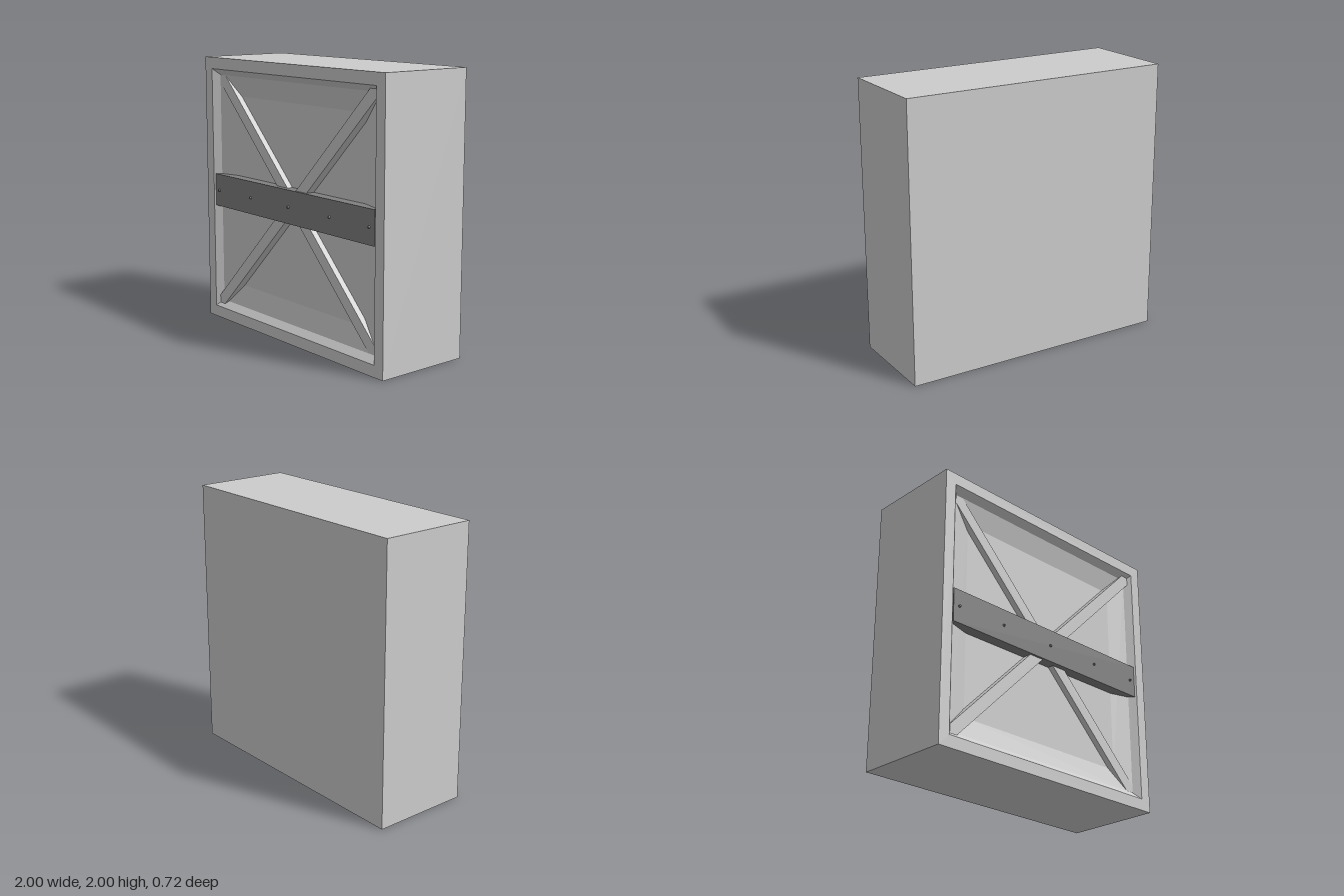
import * as THREE from 'three';

const paleGrey = new THREE.MeshStandardMaterial({ color: 0xcccccc });
const darkGrey = new THREE.MeshStandardMaterial({ color: 0x808080 });

function addMesh(group, name, geometry, material, x = 0, y = 1, z = 0) {
  const mesh = new THREE.Mesh(geometry, material);
  mesh.name = name;
  mesh.position.set(x, y, z);
  group.add(mesh);
  return mesh;
}

// Box placed by its front and back z
function addBar(group, name, width, height, front, back, material) {
  return addMesh(group, name, new THREE.BoxGeometry(width, height, front - back),
    material, 0, 1, (front + back) / 2);
}

// Square block whose front sinks in two slopes to a flat panel: [half width, z]
function blockGeometry() {
  const profile = [
    [0, -0.362], [1, -0.362], [1, 0.357], [0.915, 0.357],
    [0.87, 0.312], [0.72, 0.267], [0, 0.267],
  ].map(([half, z]) => new THREE.Vector2(half * Math.SQRT2, z));
  const geometry = new THREE.LatheGeometry(profile, 4, Math.PI / 4).toNonIndexed();
  geometry.rotateX(Math.PI / 2);
  geometry.computeVertexNormals(); // flat faces
  return geometry;
}

export function createModel() {
  const group = new THREE.Group();
  group.name = 'crate';

  addMesh(group, 'body', blockGeometry(), paleGrey);

  // Crossed braces, one slightly in front of the other
  addBar(group, 'risingBrace', 2.54, 0.085, 0.333, 0.25, paleGrey).rotation.z = Math.PI / 4;
  addBar(group, 'fallingBrace', 2.54, 0.085, 0.311, 0.25, paleGrey).rotation.z = -Math.PI / 4;

  // Horizontal plank with its row of bolts
  addBar(group, 'plank', 1.8, 0.243, 0.35, 0.25, darkGrey);
  const boltGeometry = new THREE.CylinderGeometry(0.007, 0.011, 0.016, 8).rotateX(Math.PI / 2);
  for (const x of [-0.85, -0.45, 0, 0.45, 0.85]) {
    addMesh(group, 'bolt', boltGeometry, darkGrey, x, 1, 0.354);
  }
  return group;
}
